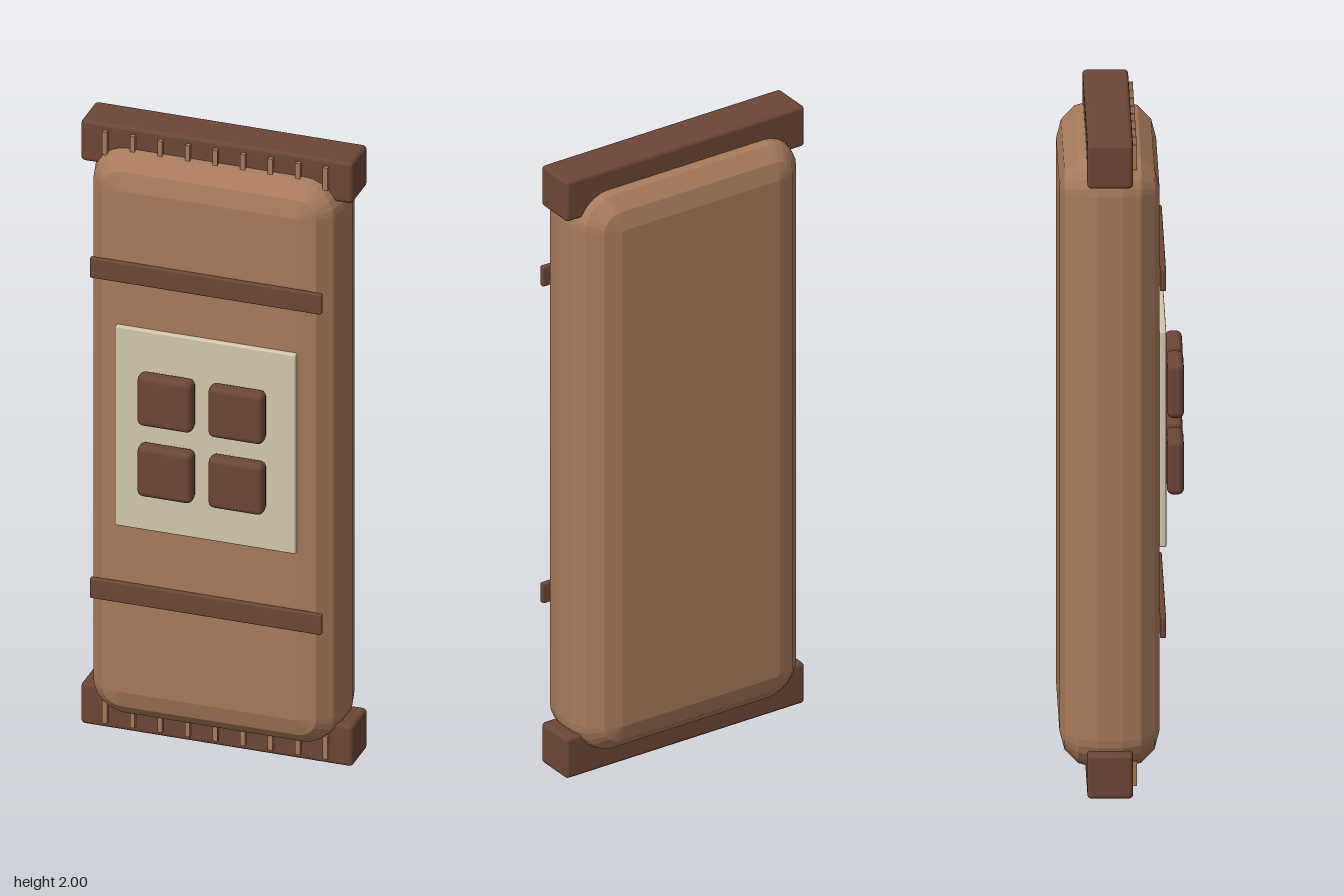
import * as THREE from 'three';
import { RoundedBoxGeometry } from 'three/addons/geometries/RoundedBoxGeometry.js';

export function createModel() {
  const group = new THREE.Group();
  const mat = (name, color) => {
    const m = new THREE.MeshStandardMaterial({ color });
    m.name = name;
    return m;
  };
  const wrapper = mat('wrapper tan', 0xa87a5b);
  const chocolate = mat('dark chocolate', 0x6b4636);
  const cream = mat('label cream', 0xd3c8ae);

  const add = (name, geometry, material, x, y, z) => {
    const mesh = new THREE.Mesh(geometry, material);
    mesh.name = name;
    mesh.position.set(x, y, z);
    group.add(mesh);
  };
  const block = (w, h, d, r) => new RoundedBoxGeometry(w, h, d, 2, r);

  // Pillow-like bar: a near-square outline swept out by a wide three-step bevel
  const bevel = 0.11, r = 0.006, w = 0.28, h = 0.83;
  const outline = new THREE.Shape();
  outline.absarc(w - r, h - r, r, 0, Math.PI / 2);
  outline.absarc(-w + r, h - r, r, Math.PI / 2, Math.PI);
  outline.absarc(-w + r, -h + r, r, Math.PI, Math.PI * 1.5);
  outline.absarc(w - r, -h + r, r, Math.PI * 1.5, Math.PI * 2);
  outline.closePath();
  const depth = 0.075;
  const body = new THREE.ExtrudeGeometry(outline, {
    depth, curveSegments: 3, bevelEnabled: true,
    bevelSize: bevel, bevelThickness: bevel, bevelSegments: 3,
  });
  body.translate(0, 0, -depth / 2);
  add('wrapperBody', body, wrapper, 0, 1, -0.0375);

  // Sealed ends with a row of crimp ridges, mirrored top and bottom
  for (const side of [1, -1]) {
    const end = side > 0 ? 'top' : 'bottom';
    add(end + 'EndSeal', block(0.85, 0.135, 0.135, 0.012), chocolate, 0, 1 + side * 0.9325, -0.0375);
    for (let i = -4; i <= 4; i++) {
      add(end + 'Crimp', new THREE.BoxGeometry(0.015, 0.075, 0.017), wrapper,
        i * 0.0862, 1 + side * 0.942, 0.0345);
    }
  }

  // Bands across the front
  for (const y of [1.568, 0.507]) {
    add('frontBand', block(0.725, 0.066, 0.018, 0.005), chocolate, 0, y, 0.119);
  }

  // Label with four chocolate squares
  add('label', block(0.565, 0.66, 0.02, 0.005), cream, 0, 1.06, 0.12);
  for (const x of [-0.111, 0.111]) {
    for (const y of [0.948, 1.182]) {
      add('chocolateSquare', block(0.172, 0.168, 0.05, 0.018), chocolate, x, y, 0.159);
    }
  }
  return group;
}
